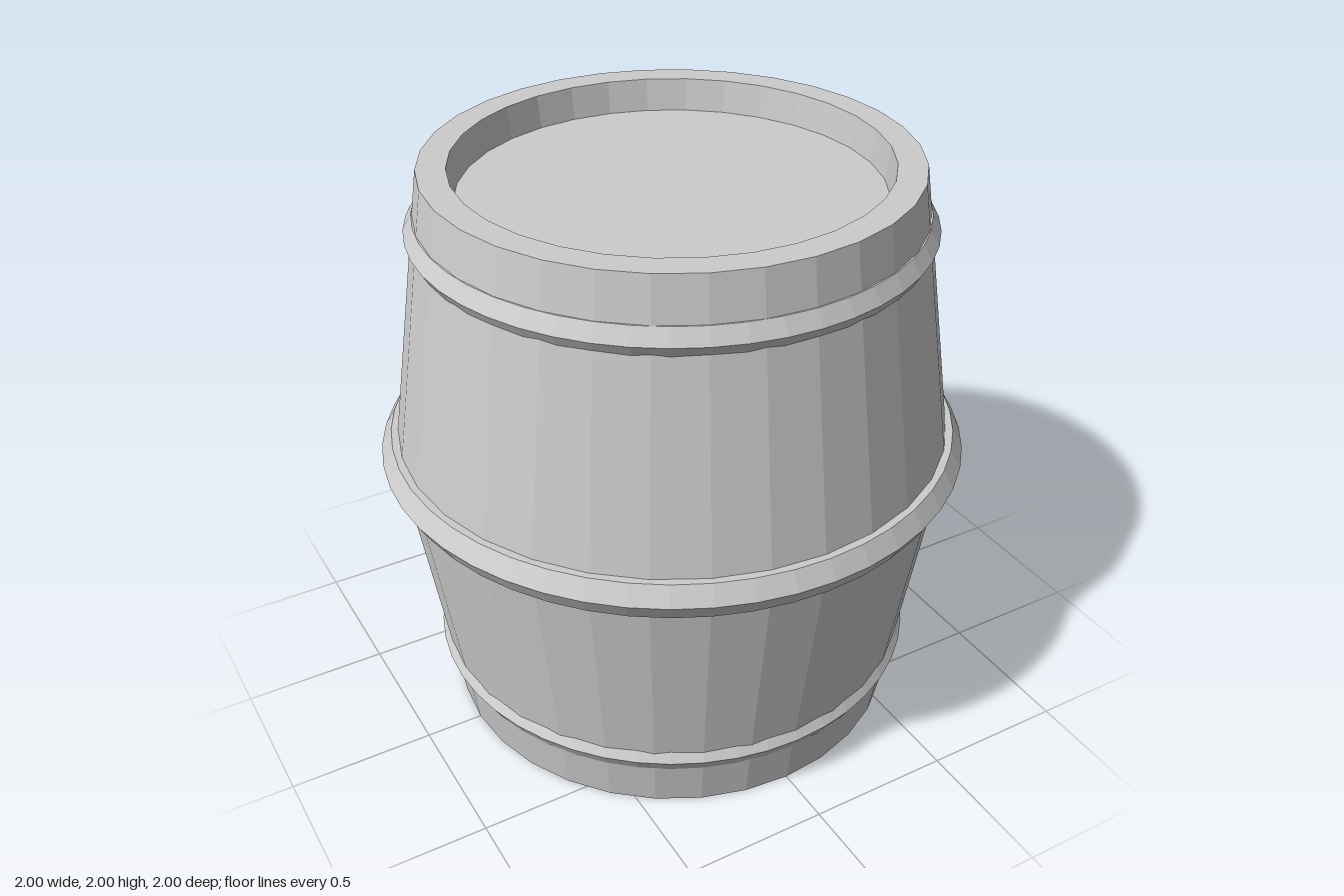
import * as THREE from 'three';

export function createModel() {
  const barrel = new THREE.Group();
  barrel.name = 'barrel';
  const material = new THREE.MeshStandardMaterial({ color: 0xcccccc, flatShading: true });

  // Faceted body with a sunken lid at each end, outlined from bottom axis to top axis
  const profile = [
    [0, 0.11], [0.69, 0.11], [0.705, 0], [0.8, 0],
    [0.95, 1],
    [0.8, 2], [0.705, 2], [0.69, 1.89], [0, 1.89],
  ].map(([r, y]) => new THREE.Vector2(r, y));
  const body = new THREE.Mesh(new THREE.LatheGeometry(profile, 32), material);
  body.name = 'body';
  barrel.add(body);

  // Hexagonal-section hoops around the body
  const addHoop = (name, y, radius, thickness) => {
    const geometry = new THREE.TorusGeometry(radius, thickness, 6, 48).rotateX(Math.PI / 2);
    const hoop = new THREE.Mesh(geometry, material);
    hoop.name = name;
    hoop.position.y = y;
    barrel.add(hoop);
  };
  addHoop('lowerHoop', 0.22, 0.795, 0.06);
  addHoop('middleHoop', 1, 0.927, 0.073);
  addHoop('upperHoop', 1.8, 0.795, 0.06);

  return barrel;
}
